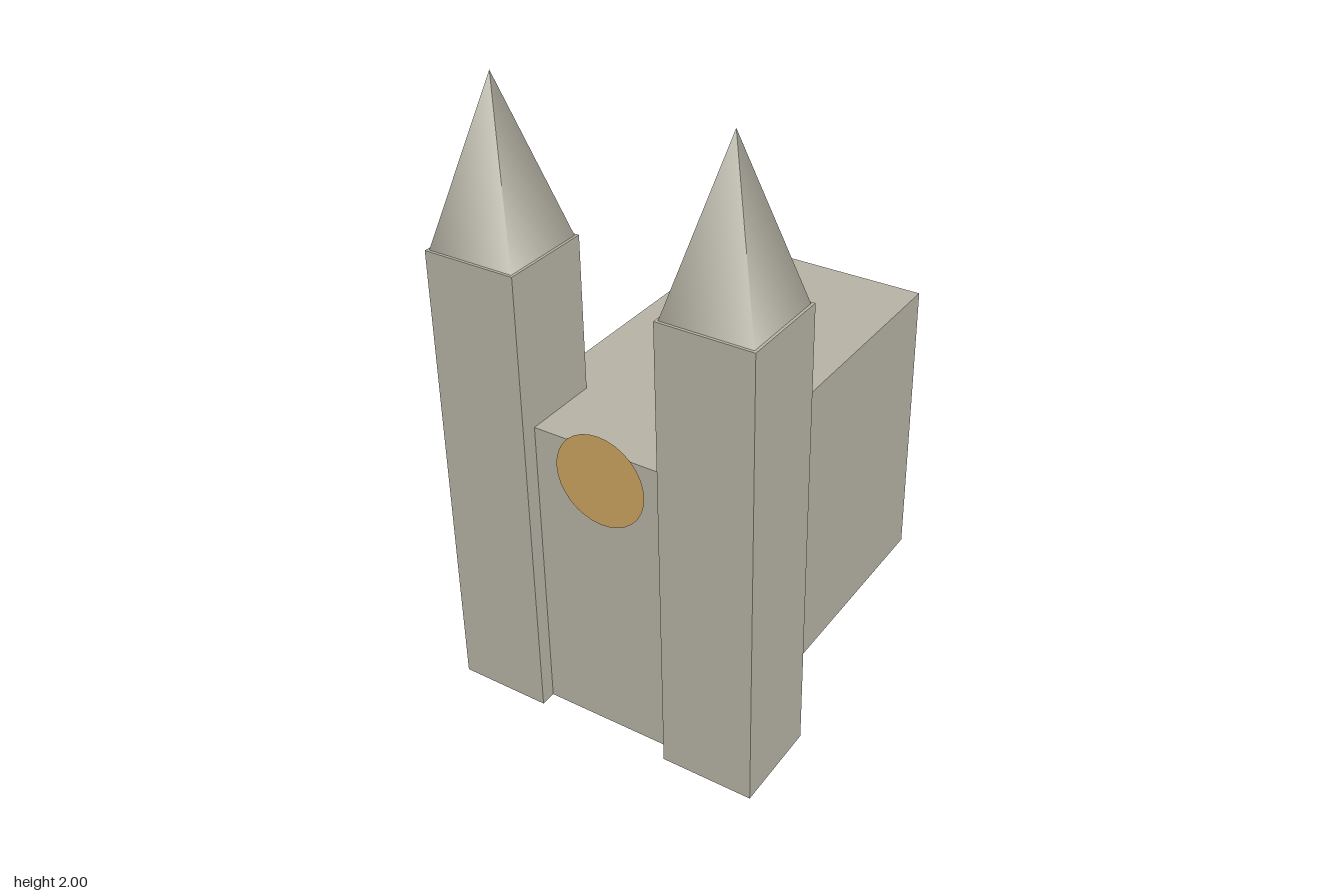
import * as THREE from 'three';

export function createModel() {
  const stone = new THREE.MeshStandardMaterial({ color: 0xb8b5a7 });
  stone.name = 'stone';
  const amber = new THREE.MeshStandardMaterial({ color: 0xcfa661, side: THREE.DoubleSide });
  amber.name = 'amberGlass';

  const model = new THREE.Group();
  model.name = 'cathedral';

  function add(parent, name, geometry, material, x, y, z) {
    const mesh = new THREE.Mesh(geometry, material);
    mesh.name = name;
    mesh.position.set(x, y, z);
    parent.add(mesh);
    return mesh;
  }

  // Main hall
  add(model, 'nave', new THREE.BoxGeometry(0.7, 1, 1.3), stone, 0, 0.5, -0.025);

  // Twin front towers with four-sided spires
  const shaft = new THREE.BoxGeometry(0.3, 1.5, 0.3);
  const spire = new THREE.ConeGeometry(0.2, 0.5, 4).rotateY(Math.PI / 4);
  for (const [name, side] of [['leftTower', 1], ['rightTower', -1]]) {
    const tower = new THREE.Group();
    tower.name = name;
    tower.position.set(side * 0.375, 0, 0.525);
    add(tower, 'towerShaft', shaft, stone, 0, 0.75, 0);
    add(tower, 'spire', spire, stone, 0, 1.75, 0);
    model.add(tower);
  }

  // Round window disc, rising slightly above the roof edge
  add(model, 'roseWindow', new THREE.CircleGeometry(0.15, 32), amber, 0, 0.9, 0.63);

  return model;
}
